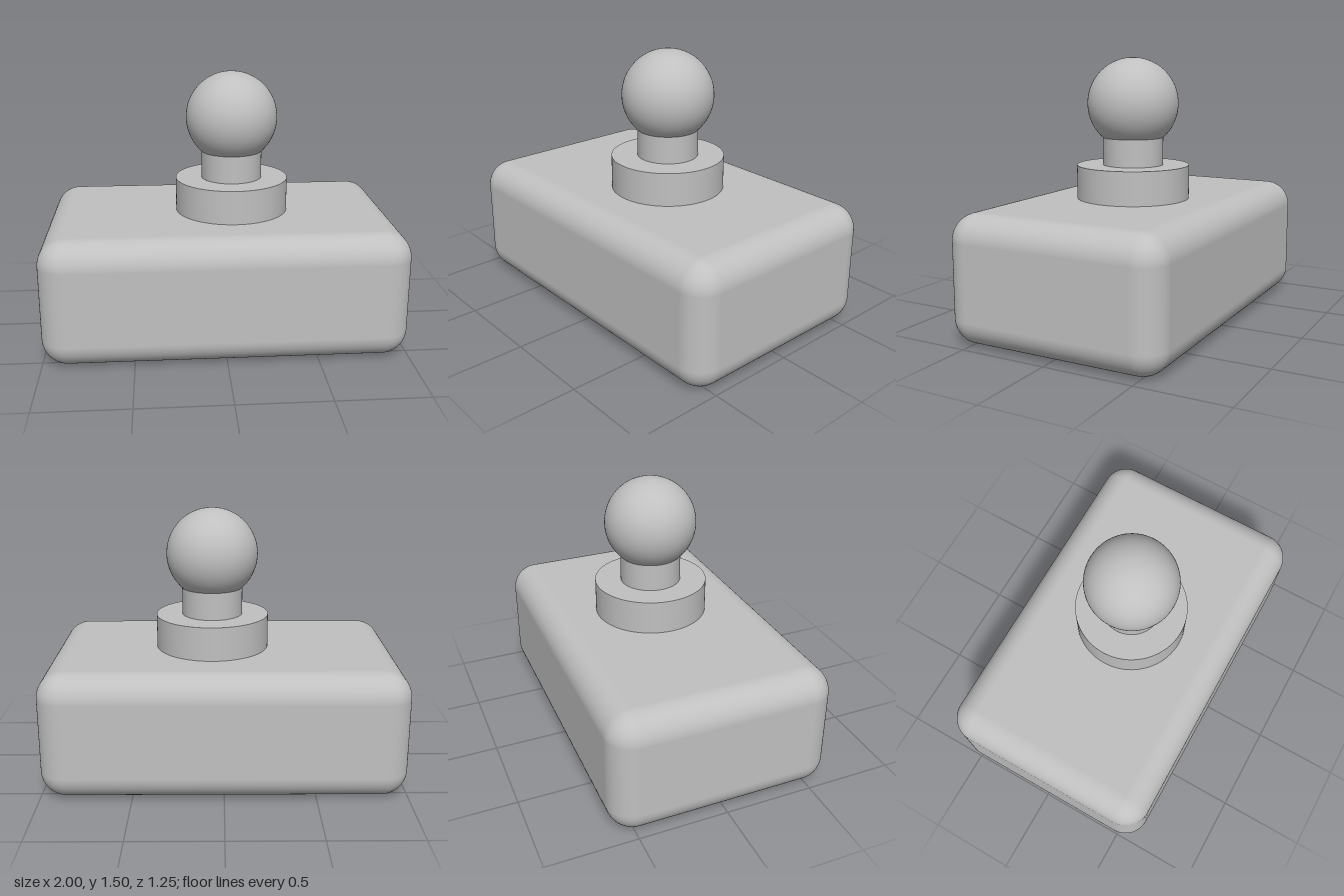
import * as THREE from 'three';
import { RoundedBoxGeometry } from 'three/addons/geometries/RoundedBoxGeometry.js';

export function createModel() {
  const group = new THREE.Group();
  const grey = new THREE.MeshStandardMaterial({ color: 0xc0c0c0 });
  grey.name = 'light grey';

  const add = (name, geometry, x, y) => {
    const mesh = new THREE.Mesh(geometry, grey);
    mesh.name = name;
    mesh.position.set(x, y, 0);
    group.add(mesh);
  };

  const baseTop = 0.705, collarTop = 0.895, neckTop = 1.05;
  const axisX = 0.065; // the ball stud sits slightly off centre

  // Rounded block
  add('base', new RoundedBoxGeometry(2, baseTop, 1.25, 8, 0.145), 0, baseTop / 2);

  // Wide collar on the block
  add('collar', new THREE.CylinderGeometry(0.32, 0.32, collarTop - baseTop, 96), axisX, (collarTop + baseTop) / 2);

  // Neck, ending where it meets the ball
  add('neck', new THREE.CylinderGeometry(0.172, 0.172, neckTop - collarTop, 64), axisX, (neckTop + collarTop) / 2);

  // Ball
  add('ball', new THREE.SphereGeometry(0.258, 64, 40), axisX, 1.242);

  return group;
}
